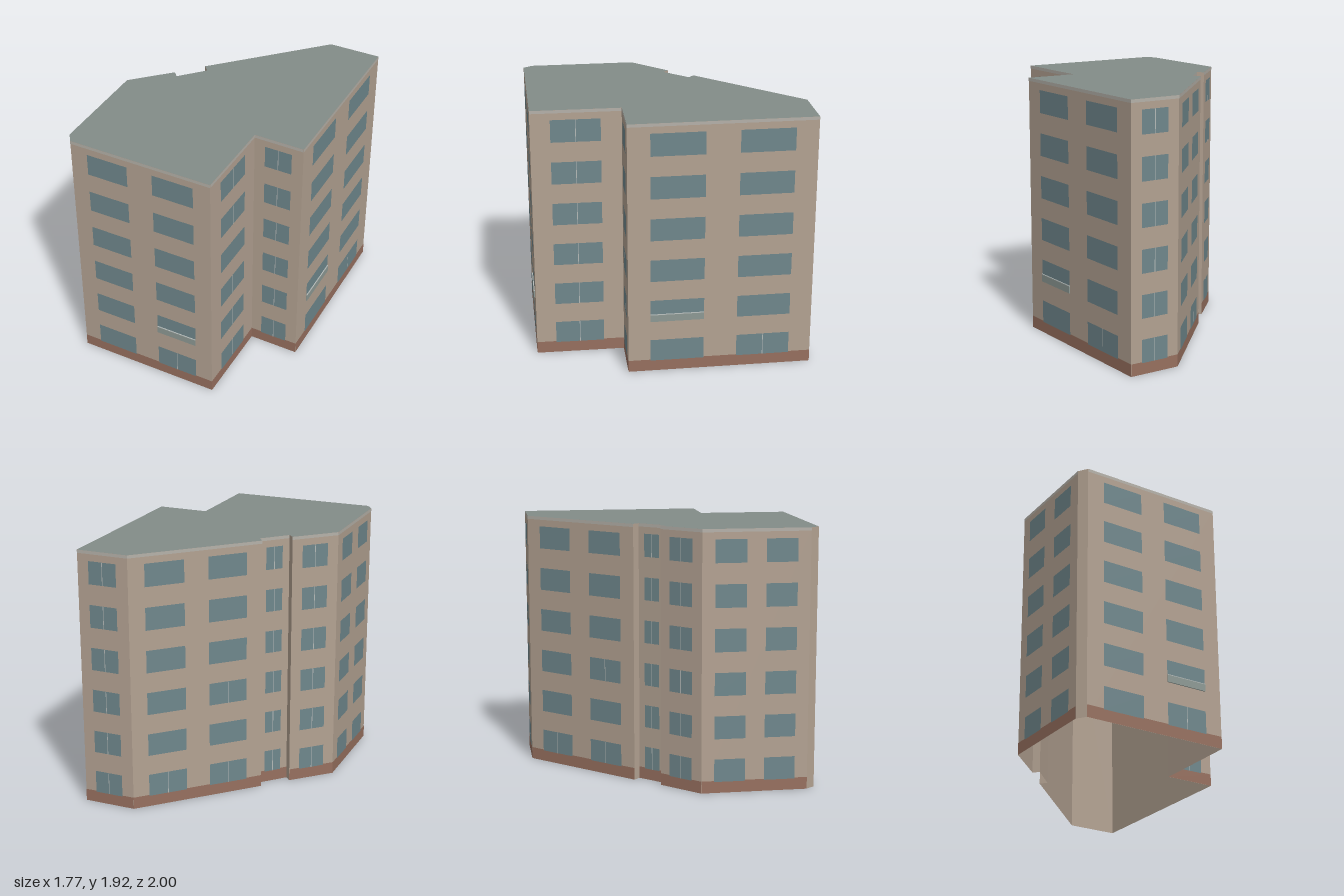
import * as THREE from 'three';

const H = 1.925, FLOORS = 6;
const mat = (color, extra = {}) => new THREE.MeshStandardMaterial({ color, ...extra });

export function createModel() {
  const model = new THREE.Group();
  model.name = 'apartmentBlock';
  const wallMat = mat(0xb3a292, { side: THREE.DoubleSide });
  const roofMat = mat(0x838c88, { side: THREE.DoubleSide });
  const brickMat = mat(0x97705f), trimMat = mat(0xb5b1a9);
  const glassMat = mat(0x6f878c), frameMat = mat(0xb4bab8), railMat = mat(0x8d9994);

  // flat panel on a wall, spanning x0..x1 and y0..y1, proud by z
  const panel = (parent, name, material, x0, x1, y0, y1, z) => {
    const m = new THREE.Mesh(new THREE.PlaneGeometry(x1 - x0, y1 - y0), material);
    m.position.set((x0 + x1) / 2, (y0 + y1) / 2, z);
    m.name = name;
    parent.add(m);
  };

  // window spans as fractions of the wall length
  const PAIR = [[0.12, 0.41], [0.59, 0.88]], SINGLE = [[0.22, 0.77]];
  // footprint corner, with the windows of the wall running to the next corner;
  // split lists the [floor, column] windows that have a centre mullion
  const walls = [
    { p: [-0.882, 0.78], windows: [], plain: true },
    { p: [-0.845, 0.85], windows: PAIR, split: [[0, 1]], balcony: true },
    { p: [0.245, 0.998], windows: SINGLE },
    { p: [0.335, 0.345], windows: SINGLE },
    { p: [0.71, 0.4], windows: PAIR, split: [[0, 1]], balcony: 'first' },
    { p: [0.882, -0.95], windows: SINGLE },
    { p: [0.495, -1], windows: PAIR, split: [[0, 0], [0, 1], [2, 1]] },
    { p: [-0.305, -0.375], windows: [], plain: true },
    { p: [-0.27, -0.325], windows: SINGLE },
    { p: [-0.455, -0.175], windows: [], plain: true },
    { p: [-0.488, -0.22], windows: SINGLE },
    { p: [-0.78, 0], windows: PAIR },
  ];

  walls.forEach((w, i) => {
    const [ax, az] = w.p, [bx, bz] = walls[(i + 1) % walls.length].p;
    const len = Math.hypot(bx - ax, bz - az);
    const side = new THREE.Group();
    side.name = 'facade' + (i + 1);
    side.position.set(ax, 0, az);
    side.rotation.y = Math.atan2(az - bz, bx - ax);
    model.add(side);
    panel(side, 'wall', wallMat, 0, len, 0, H, 0);
    if (w.plain) return;
    panel(side, 'brickPlinth', brickMat, 0, len, 0, 0.09, 0.0015);
    panel(side, 'roofTrim', trimMat, 0, len, 1.902, H, 0.0015);

    // windows, floor by floor
    for (let f = 0; f < FLOORS; f++) {
      const y = 0.083 + 0.32 * f;
      w.windows.forEach(([t0, t1], col) => {
        const x0 = t0 * len, x1 = t1 * len, mid = (x0 + x1) / 2;
        panel(side, 'window', glassMat, x0, x1, y, y + 0.169, 0.003);
        const split = w.windows === SINGLE || (w.split || []).some(([a, b]) => a === f && b === col);
        if (split) panel(side, 'mullion', frameMat, mid - 0.0025, mid + 0.0025, y, y + 0.169, 0.0045);
      });
    }

    // shallow balcony guard with a top rail on the second floor
    if (w.balcony) {
      const [t0, t1] = PAIR[w.balcony === 'first' ? 0 : 1];
      [['balconyGuard', railMat, 0.053, 0.43], ['balconyRail', frameMat, 0.005, 0.459]].forEach(([name, m, h, y]) => {
        const box = new THREE.Mesh(new THREE.BoxGeometry((t1 - t0) * len, h, 0.008), m);
        box.position.set(((t0 + t1) / 2) * len, y, 0.006);
        box.name = name;
        side.add(box);
      });
    }
  });

  // flat roof over the footprint; the underside stays open
  const outline = new THREE.Shape(walls.map(({ p }) => new THREE.Vector2(p[0], -p[1])));
  const roof = new THREE.Mesh(new THREE.ShapeGeometry(outline).rotateX(-Math.PI / 2), roofMat);
  roof.position.y = H;
  roof.name = 'roof';
  model.add(roof);
  return model;
}
